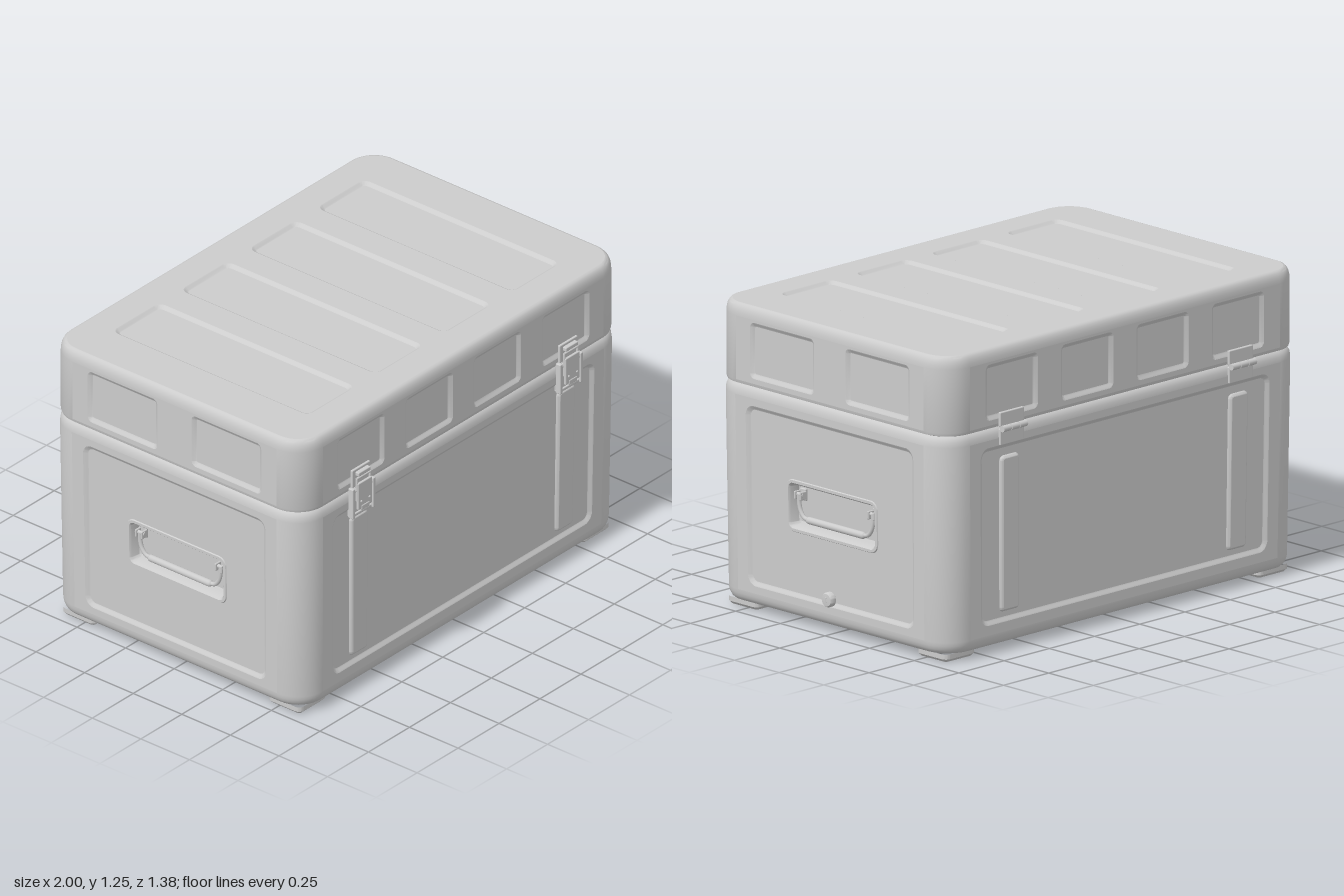
import * as THREE from 'three';
import { mergeGeometries, toCreasedNormals } from 'three/addons/utils/BufferGeometryUtils.js';
import { RoundedBoxGeometry } from 'three/addons/geometries/RoundedBoxGeometry.js';

const grey = new THREE.MeshStandardMaterial({ color: 0xcccccc });
const N = 9; // segments per rounded corner
const HX = 0.988, HZ = 0.657, CORNER = 0.13;

function add(parent, name, geo, x = 0, y = 0, z = 0) {
  const m = new THREE.Mesh(geo, grey);
  m.name = name;
  m.position.set(x, y, z);
  parent.add(m);
  return m;
}
const block = (w, h, d, r = 0.004) => new RoundedBoxGeometry(w, h, d, 2, r);
const bar = (r, len) => new THREE.CylinderGeometry(r, r, len, 16).rotateZ(Math.PI / 2);

// Counter-clockwise rounded rectangle
function ring(cx, cy, w, h, r) {
  const pts = [], q = Math.PI / 2;
  [[1, 1], [-1, 1], [-1, -1], [1, -1]].forEach(([sx, sy], k) => {
    for (let i = 0; i <= N; i++) {
      const a = q * (k + i / N);
      pts.push(new THREE.Vector2(cx + sx * (w / 2 - r) + r * Math.cos(a), cy + sy * (h / 2 - r) + r * Math.sin(a)));
    }
  });
  return pts;
}

// Joins rings of [points, z]; band 'open' leaves out its four flat sides
function loft(rings, open = -1) {
  const pos = [], idx = [], n = rings[0][0].length;
  for (const [pts, z] of rings) for (const p of pts) pos.push(p.x, p.y, z);
  for (let j = 0; j < rings.length - 1; j++)
    for (let i = 0; i < n; i++) {
      if (j === open && i % (N + 1) === N) continue;
      const a = j * n + i, b = j * n + (i + 1) % n;
      idx.push(a, b, b + n, a, b + n, a + n);
    }
  const g = new THREE.BufferGeometry();
  g.setAttribute('position', new THREE.Float32BufferAttribute(pos, 3));
  g.setIndex(idx);
  return toCreasedNormals(g, 0.6);
}

// Flat sheet with holes, facing +z
function sheet(outline, z, holes = []) {
  const s = new THREE.Shape(outline);
  s.holes = holes.map(h => new THREE.Path(h));
  const g = new THREE.ShapeGeometry(s).toNonIndexed().translate(0, 0, z);
  g.deleteAttribute('uv');
  return g;
}

// Stepped rounded rectangle following a profile of [inset, z], closed at its end
function panel([cx, cy, w, h, r], profile, holes) {
  const rings = profile.map(([i, z]) => [ring(cx, cy, w - 2 * i, h - 2 * i, Math.max(r - i, 0.002)), z]);
  const [pts, z] = rings[rings.length - 1];
  return [loft(rings), sheet(pts, z, holes)];
}
const RECESS = [[0, 0], [0.005, -0.002], [0.013, -0.01], [0.018, -0.012]];
const RIB = [[0, -0.012], [0.003, -0.004], [0.008, 0.001], [0.012, 0.002]];
const POCKET = [[0, -0.012], [0.003, -0.007], [0.014, -0.007], [0.02, -0.014], [0.026, -0.055], [0.034, -0.06]];
const outer = ([cx, cy, w, h, r]) => ring(cx, cy, w, h, r);

// Wall between two heights with recessed panels
function wall(half, y0, y1, panels, floorHoles) {
  const rect = [[-half, y0], [half, y0], [half, y1], [-half, y1]].map(p => new THREE.Vector2(...p));
  return [sheet(rect, 0, panels.map(outer)), ...panels.flatMap(p => panel(p, RECESS, floorHoles))];
}

// Box shell: lofted corners and edges, four walls, both ends closed
function shell(hx, hz, profile, open, walls, topPanels) {
  const rings = profile.map(([i, y]) => [ring(0, 0, 2 * (hx - i), 2 * (hz - i), CORNER - i), y]);
  const last = rings[rings.length - 1];
  const parts = [
    loft(rings, open).rotateX(-Math.PI / 2),
    sheet(rings[0][0], -rings[0][1]).rotateX(Math.PI / 2),
    ...[sheet(last[0], last[1], topPanels.map(outer)),
      ...topPanels.flatMap(p => panel(p, RECESS.map(([i, z]) => [i, z + last[1]])))].map(g => g.rotateX(-Math.PI / 2)),
  ];
  for (let k = 0; k < 4; k++)
    for (const g of walls(k)) parts.push(g.translate(0, 0, k % 2 ? hx : hz).rotateY(k * Math.PI / 2));
  return mergeGeometries(parts);
}

// Quarter-round edge as [inset, y] points
const fillet = (y0, y1, inset) => Array.from({ length: 6 }, (_, i) => {
  const a = i / 5 * Math.PI / 2;
  return [inset * (1 - Math.cos(a)), y0 + (y1 - y0) * Math.sin(a)];
});

function makeBody() {
  const profile = [...fillet(0.08, 0.03, 0.03).reverse(), [0, 0.88], [0.003, 0.9], [0.011, 0.916], [0.02, 0.922]];
  const pocket = [0, 0.4825, 0.515, 0.215, 0.04];
  const geo = shell(HX, HZ, profile, 5, k => {
    if (k % 2) return [...wall(HZ - CORNER, 0.08, 0.88, [[0, 0.48, 0.94, 0.74, 0.045]], [outer(pocket)]), ...panel(pocket, POCKET)];
    return [...wall(HX - CORNER, 0.08, 0.88, [[0, 0.485, 1.6, 0.73, 0.045]]),
      ...[-0.633, 0.633].flatMap(x => panel([x, 0.48, 0.105, 0.64, 0.02], RIB))];
  }, []);
  // Walls draw in slightly toward the bottom
  const p = geo.attributes.position;
  for (let i = 0; i < p.count; i++) {
    const f = 1 - 0.014 * Math.max(0, 0.88 - p.getY(i));
    p.setX(i, p.getX(i) * f);
    p.setZ(i, p.getZ(i) * f);
  }
  return geo;
}

function makeLid() {
  const xs = [-0.625, -0.208, 0.208, 0.625];
  const profile = [[0.018, 0.922], [0.004, 0.927], [0, 0.94], ...fillet(1.2, 1.25, 0.025)];
  return shell(HX - 0.002, HZ - 0.002, profile, 2, k => k % 2
    ? wall(HZ - CORNER - 0.002, 0.94, 1.2, [-0.267, 0.267].map(x => [x, 1.075, 0.36, 0.23, 0.025]))
    : wall(HX - CORNER - 0.002, 0.94, 1.2, xs.map(x => [x, 1.075, 0.29, 0.23, 0.025])),
  xs.map(x => [x, 0, 0.29, 1.01, 0.035]));
}

function makeLatch() {
  const g = new THREE.Group();
  g.name = 'latch';
  add(g, 'latchBase', block(0.125, 0.13, 0.024), 0, 0.872, 0.652);
  for (const s of [-1, 1]) {
    add(g, 'latchCheek', block(0.016, 0.135, 0.026), s * 0.062, 0.875, 0.667);
    add(g, 'latchLoopSide', bar(0.005, 0.1).rotateZ(Math.PI / 2), s * 0.04, 0.93, 0.675);
    add(g, 'latchRivet', new THREE.SphereGeometry(0.006, 10, 6), s * 0.025, 0.875, 0.684);
  }
  add(g, 'latchFoot', block(0.14, 0.014, 0.018), 0, 0.815, 0.662);
  add(g, 'latchKeeperPlate', block(0.11, 0.08, 0.012), 0, 0.978, 0.659);
  add(g, 'latchKeeperHook', block(0.075, 0.018, 0.024), 0, 0.998, 0.671);
  add(g, 'latchLoopTop', bar(0.005, 0.084), 0, 0.98, 0.675);
  add(g, 'latchLever', block(0.085, 0.12, 0.012), 0, 0.9, 0.679);
  add(g, 'latchLeverTab', block(0.05, 0.022, 0.012), 0, 0.845, 0.682);
  add(g, 'latchPivot', bar(0.009, 0.14), 0, 0.925, 0.667);
  return g;
}

function makeHinge() {
  const g = new THREE.Group();
  g.name = 'hinge';
  add(g, 'hingeUpperLeaf', block(0.132, 0.06, 0.014), 0, 0.955, 0.659);
  add(g, 'hingeLowerLeaf', block(0.132, 0.068, 0.014), 0, 0.884, 0.659);
  for (const i of [-1, 0, 1]) add(g, 'hingeKnuckle', bar(0.013, 0.042), i * 0.045, 0.92, 0.675);
  return g;
}

// Bail handle hanging in its pocket
function makeHandle() {
  const g = new THREE.Group();
  g.name = 'handle';
  const z = 0.95;
  for (const s of [-1, 1]) {
    const path = new THREE.CatmullRomCurve3([[0.207, 0.528], [0.207, 0.495], [0.198, 0.46], [0.178, 0.436], [0.15, 0.43]]
      .map(([x, y]) => new THREE.Vector3(s * x, y, z)));
    add(g, 'handleArm', new THREE.TubeGeometry(path, 20, 0.009, 10));
    add(g, 'handleBracket', block(0.034, 0.05, 0.016), s * 0.205, 0.522, 0.926);
    for (const t of [-1, 1]) add(g, 'handleLug', block(0.009, 0.034, 0.036), s * 0.205 + t * 0.015, 0.522, 0.946);
    add(g, 'handlePin', bar(0.008, 0.046), s * 0.205, 0.526, z);
  }
  add(g, 'handleGrip', new THREE.CapsuleGeometry(0.0145, 0.3, 6, 16).rotateZ(Math.PI / 2), 0, 0.43, z);
  return g;
}

export function createModel() {
  const model = new THREE.Group();
  model.name = 'storageChest';
  const chest = new THREE.Group();
  chest.name = 'chest';
  chest.position.set(-0.01, 0, -0.002);
  model.add(chest);
  add(chest, 'body', makeBody());
  add(chest, 'lid', makeLid());

  // Latches in front, hinges behind, a handle on each end
  for (const s of [-1, 1]) {
    const latch = makeLatch(), hinge = makeHinge(), handle = makeHandle();
    latch.position.x = hinge.position.x = s * 0.633;
    hinge.rotation.y = Math.PI;
    handle.rotation.y = s * Math.PI / 2;
    chest.add(latch, hinge, handle);
  }

  // Corner feet with bevelled rims
  const footGeo = mergeGeometries([
    ...panel([0, 0, 0.17, 0.17, 0.025], [[0, 0.032], [0, 0.026], [0, 0.012], [0.012, 0]].map(([i, y]) => [i, 0.032 - y]))
  ]).rotateX(Math.PI / 2).translate(0, 0.032, 0);
  for (const x of [-0.865, 0.865]) for (const z of [-0.53, 0.53]) add(chest, 'foot', footGeo, x, 0, z);

  // Drain plug with a coin slot
  const plug = new THREE.LatheGeometry([[0.024, 0], [0.03, 0.006], [0.03, 0.024], [0.025, 0.032], [0, 0.035]]
    .map(p => new THREE.Vector2(...p)), 28);
  add(chest, 'drainPlug', toCreasedNormals(plug.rotateZ(-Math.PI / 2), 0.6), 0.964 + 0.011, 0.145, 0).scale.x = 0.95;
  add(chest, 'drainPlugSlot', block(0.004, 0.022, 0.005, 0.001), 1.008, 0.145, 0);
  return model;
}
